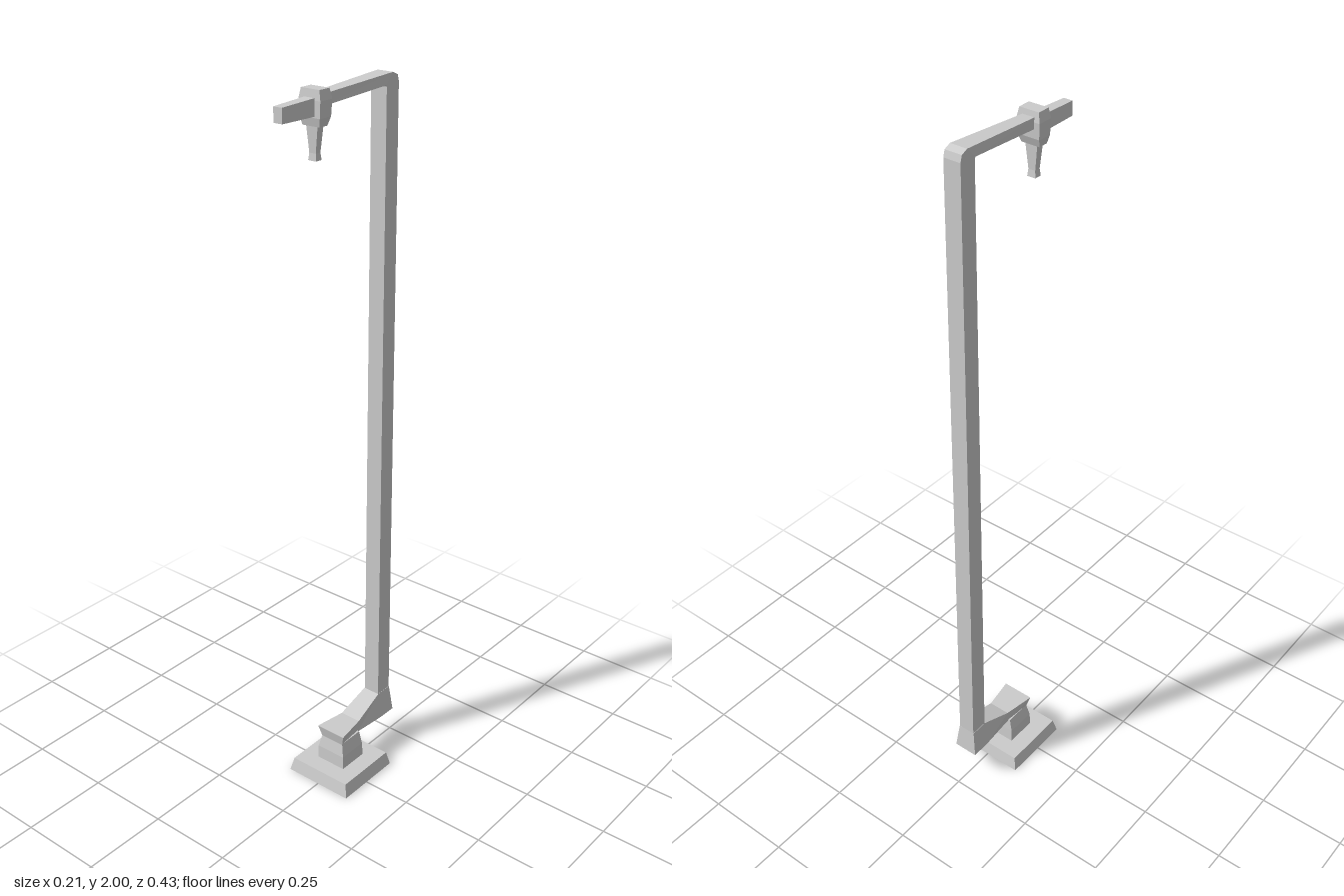
import * as THREE from 'three';

const material = new THREE.MeshStandardMaterial({ color: 0xcccccc, flatShading: true });

// Four-sided loft. Each section: [outer half-width, outer z, outer y, inner half-width, inner z, inner y, x offset]
// Outer is the back/top edge, inner the front/bottom edge; sections run upward or forward.
function loft(name, sections) {
  const rings = sections.map(([wo, zo, yo, wi, zi, yi, cx = 0]) => [
    [cx - wo, yo, zo], [cx + wo, yo, zo], [cx + wi, yi, zi], [cx - wi, yi, zi],
  ]);
  const pos = [];
  const quad = (a, b, c, d) => { for (const p of [a, b, c, a, c, d]) pos.push(...p); };
  for (let s = 0; s < rings.length - 1; s++) {
    const r = rings[s], n = rings[s + 1];
    for (let i = 0; i < 4; i++) {
      const j = (i + 1) % 4;
      quad(r[i], n[i], n[j], r[j]);
    }
  }
  quad(...rings[0]);
  quad(...rings[rings.length - 1].slice().reverse());
  const geo = new THREE.BufferGeometry();
  geo.setAttribute('position', new THREE.Float32BufferAttribute(pos, 3));
  geo.computeVertexNormals();
  const mesh = new THREE.Mesh(geo, material);
  mesh.name = name;
  return mesh;
}

// Horizontal rectangular section
const level = (y, w, back, front, cx = 0) => [w, back, y, w, front, y, cx];
// Upright rectangular section
const upright = (z, w, top, bottom, cx = 0) => [w, z, top, w, z, bottom, cx];

export function createModel() {
  const group = new THREE.Group();
  group.name = 'bracketPost';

  // Stepped base
  group.add(loft('basePlate', [level(0, 0.106, -0.112, 0.096), level(0.04, 0.097, -0.104, 0.087)]));
  group.add(loft('pedestal', [
    level(0.04, 0.047, -0.055, 0.037),
    level(0.08, 0.046, -0.053, 0.036),
    level(0.12, 0.037, -0.05, 0.029),
  ]));

  // Foot joining the pedestal to the offset post
  group.add(loft('footBracket', [
    [0.026, -0.207, 0.19, 0.036, -0.214, 0.11],
    [0.026, -0.155, 0.19, 0.036, -0.155, 0.111],
    [0.032, -0.055, 0.152, 0.03, -0.055, 0.114],
    [0.047, 0.037, 0.152, 0.037, 0.029, 0.115],
  ]));

  // Post bending into the tapered arm
  group.add(loft('postAndArm', [
    level(0.18, 0.025, -0.207, -0.155),
    level(1.0, 0.0245, -0.205, -0.155),
    [0.024, -0.203, 1.975, 0.024, -0.155, 1.968],
    [0.024, -0.198, 1.992, 0.024, -0.154, 1.97],
    [0.024, -0.18, 2.0, 0.024, -0.152, 1.972],
    upright(0.07, 0.017, 1.986, 1.958, -0.001),
  ]));
  group.add(loft('armTip', [
    upright(0.07, 0.016, 1.982, 1.938, -0.001),
    upright(0.214, 0.013, 1.976, 1.939, -0.002),
  ]));

  // Clamp around the arm with its hanging peg
  group.add(loft('clamp', [
    level(1.914, 0.026, 0.072, 0.1, -0.001),
    level(1.935, 0.031, 0.064, 0.105, -0.001),
    level(1.975, 0.033, 0.062, 0.105, -0.001),
    level(2.0, 0.028, 0.066, 0.102, -0.001),
  ]));
  group.add(loft('peg', [
    level(1.832, 0.012, 0.075, 0.096, -0.002),
    level(1.85, 0.01, 0.077, 0.094, -0.002),
    level(1.92, 0.018, 0.075, 0.097, -0.001),
  ]));
  return group;
}
